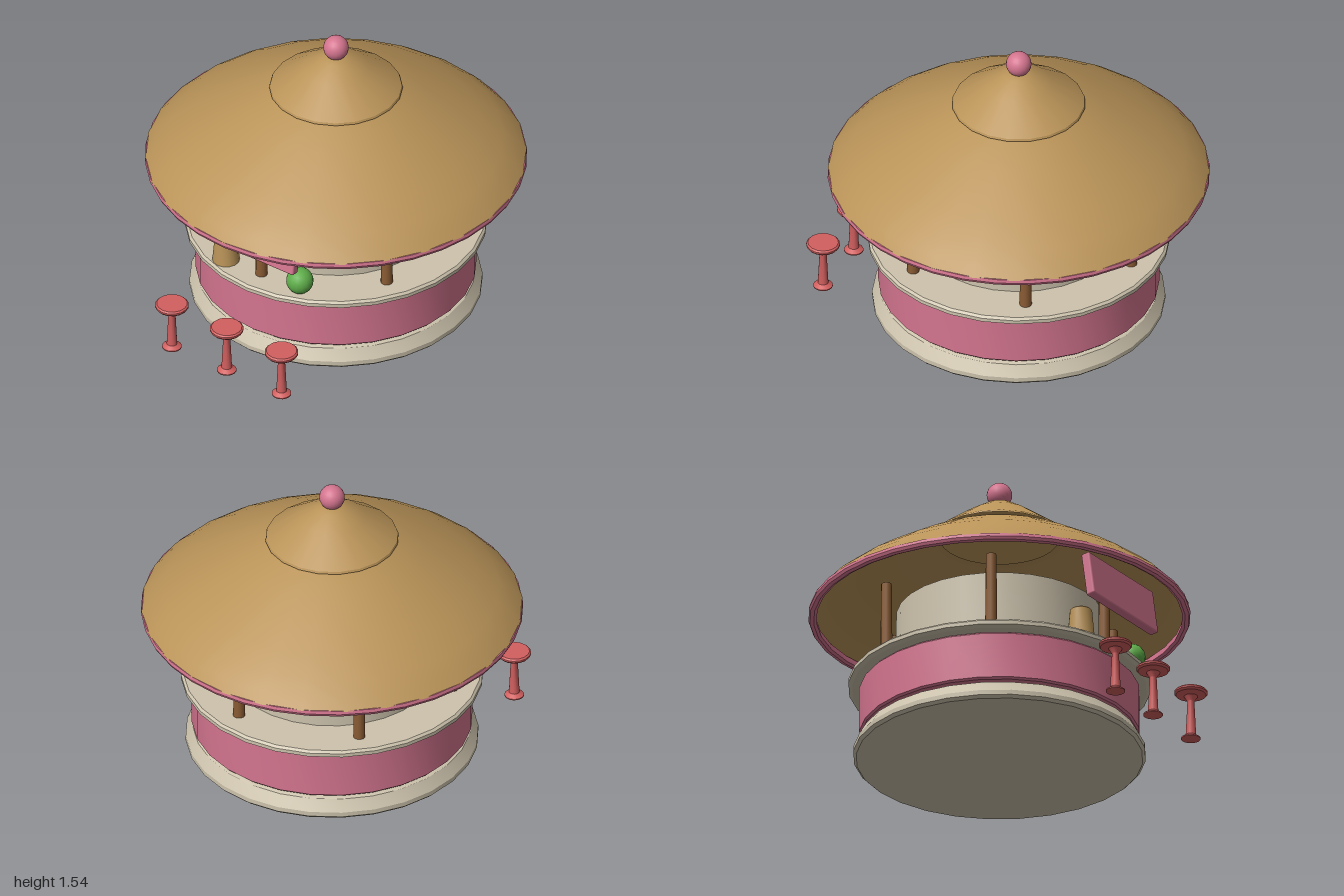
import * as THREE from 'three';
import { toCreasedNormals } from 'three/addons/utils/BufferGeometryUtils.js';
import { RoundedBoxGeometry } from 'three/addons/geometries/RoundedBoxGeometry.js';

const mat = (name, color, side = THREE.FrontSide) => {
  const m = new THREE.MeshStandardMaterial({ color, side });
  m.name = name;
  return m;
};

export function createModel() {
  const thatch = mat('thatch tan', 0xb99358, THREE.DoubleSide);
  const pink = mat('pink', 0xd4758f);
  const cream = mat('cream', 0xcdc3ad);
  const wood = mat('brown wood', 0x8a5c34);
  const red = mat('stool red', 0xd25f5f);
  const green = mat('green', 0x5fae4a);

  const model = new THREE.Group();
  model.name = 'roundBar';
  const hut = new THREE.Group();
  hut.name = 'hut';
  hut.position.z = -0.025;
  model.add(hut);

  const add = (parent, name, geometry, material, x = 0, y = 0, z = 0) => {
    const mesh = new THREE.Mesh(geometry, material);
    mesh.name = name;
    mesh.position.set(x, y, z);
    parent.add(mesh);
    return mesh;
  };
  // Turned shape from [radius, height] pairs, listed from bottom to top
  const turned = (profile, segments = 28, crease = 0.5) =>
    toCreasedNormals(new THREE.LatheGeometry(profile.map(([r, y]) => new THREE.Vector2(r, y)), segments), crease);

  // Plinth, counter wall and counter top
  add(hut, 'plinth', turned([[0, 0], [0.73, 0], [0.745, 0.015], [0.745, 0.04], [0.71, 0.1], [0.7, 0.105], [0, 0.105]]), cream);
  add(hut, 'counterWall', turned([[0, 0.118], [0.705, 0.118], [0.715, 0.128], [0.715, 0.37], [0.705, 0.38], [0, 0.38]]), pink);
  add(hut, 'counterTop', turned([[0, 0.385], [0.75, 0.385], [0.77, 0.398], [0.77, 0.418], [0.758, 0.43], [0, 0.43]]), cream);

  // Inner drum, running through the counter
  add(hut, 'innerDrum', turned([[0, 0.1], [0.54, 0.1], [0.525, 0.8], [0, 0.8]]), cream);

  // Six roof posts
  for (let i = 0; i < 6; i++) {
    const a = (i * Math.PI) / 3;
    add(hut, 'post', new THREE.CylinderGeometry(0.027, 0.031, 0.42, 12), wood, 0.64 * Math.sin(a), 0.635, 0.64 * Math.cos(a));
  }

  // Roof, its cap, trim and finial
  add(hut, 'roof', turned([[0.97, 0.812], [0.925, 0.86], [0.85, 0.92], [0.73, 1.0], [0.6, 1.077], [0.47, 1.15], [0.37, 1.2], [0.3, 1.23]]), thatch);
  add(hut, 'roofCap', turned([[0.34, 1.228], [0.335, 1.24], [0.17, 1.358], [0.08, 1.413], [0.04, 1.428], [0, 1.43]], 20), thatch);
  add(hut, 'roofTrim', turned([[0.93, 0.785], [0.945, 0.778], [0.965, 0.782], [0.972, 0.797], [0.968, 0.815], [0.935, 0.818], [0.93, 0.785]], 36), pink);
  add(hut, 'finial', new THREE.SphereGeometry(0.065, 20, 14), pink, 0, 1.474, 0);

  // Tilted signboard under the eaves
  const board = add(model, 'signboard', new RoundedBoxGeometry(0.59, 0.24, 0.05, 2, 0.01), pink, 0, 0.735, 0.71);
  board.rotation.x = -0.14;

  // Tumbler and ball on the counter
  add(model, 'tumbler', turned([[0, 0.43], [0.07, 0.43], [0.057, 0.575], [0.05, 0.582], [0, 0.582]], 14, 0.6), thatch, -0.22, 0, 0.62);
  add(model, 'ball', new THREE.SphereGeometry(0.07, 16, 12), green, 0.245, 0.495, 0.62);

  // Stools
  const stool = turned([[0, 0], [0.05, 0], [0.05, 0.006], [0.027, 0.022], [0.018, 0.21], [0.035, 0.238],
    [0.078, 0.245], [0.086, 0.255], [0.086, 0.264], [0.078, 0.272], [0, 0.272]], 16, 0.6);
  for (const x of [-0.345, 0, 0.345]) add(model, 'stool', stool, red, x, 0, 0.914);

  return model;
}
